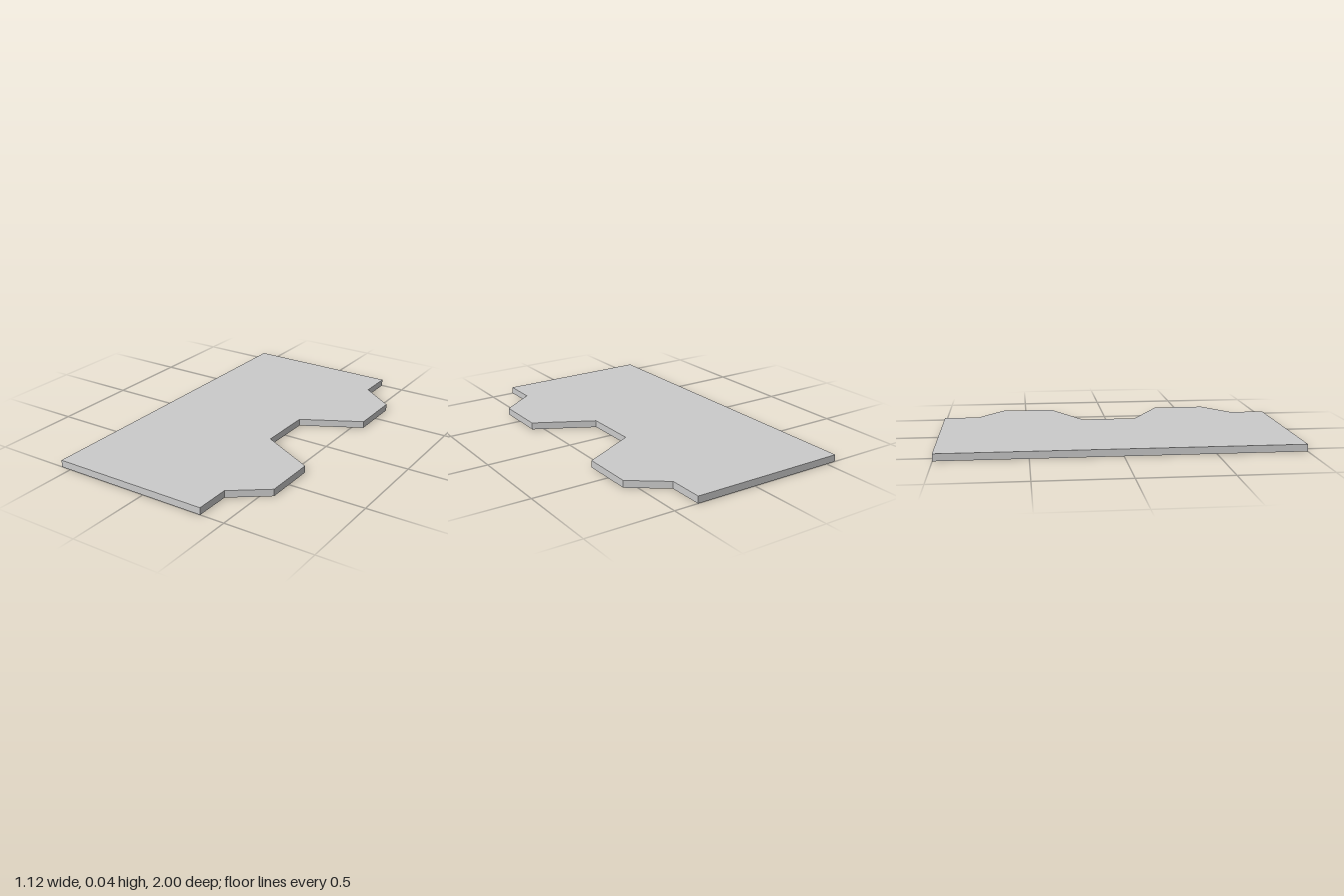
import * as THREE from 'three';

const THICKNESS = 0.04;

export function createModel() {
  const group = new THREE.Group();
  group.name = 'notchedPlate';

  // Half of the toothed edge, from the middle notch outwards: [x, distance from centre]
  const half = [[0.23, 0.16], [0.56, 0.338], [0.56, 0.645], [0.36, 0.795], [0.36, 1], [-0.56, 1]];
  const mirrored = half.map(([x, d]) => [x, -d]).reverse();
  const outline = [...mirrored, ...half].map(([x, d]) => new THREE.Vector2(x, d));

  // Flat plate, extruded and laid down on the ground
  const geometry = new THREE.ExtrudeGeometry(new THREE.Shape(outline), {
    depth: THICKNESS,
    bevelEnabled: false,
  });
  geometry.rotateX(-Math.PI / 2);

  const material = new THREE.MeshStandardMaterial({ color: 0xcccccc, flatShading: true });
  const plate = new THREE.Mesh(geometry, material);
  plate.name = 'plate';
  group.add(plate);
  return group;
}
